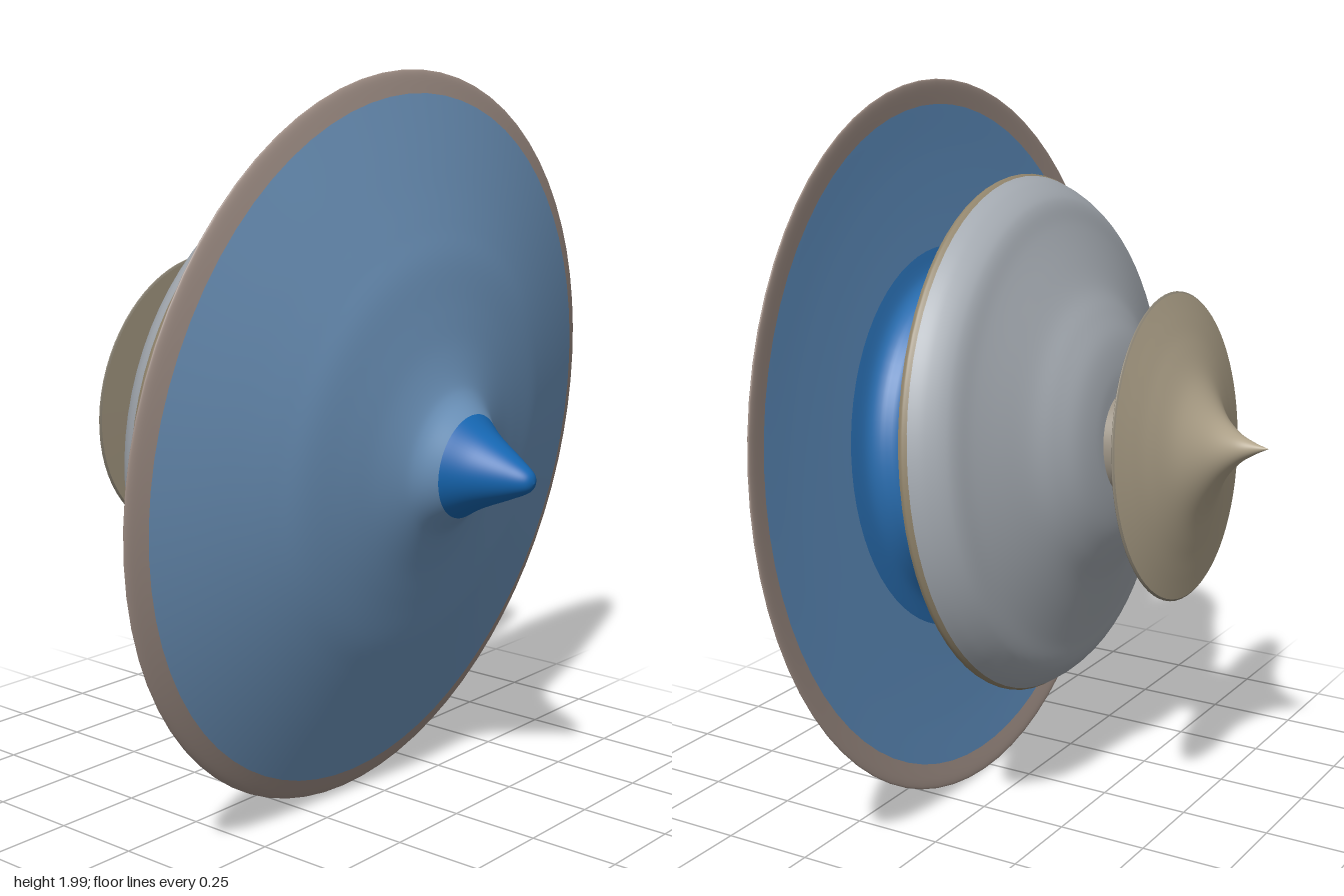
import * as THREE from 'three';

const SEGMENTS = 72;

// Turned part: control points are [radius, position along the axis], back to front
function turned(name, color, points, smooth = true) {
  let profile = points.map(([r, s]) => new THREE.Vector2(r, s));
  if (smooth) {
    profile = new THREE.SplineCurve(profile).getPoints(points.length * 5);
    profile.forEach((p) => { p.x = Math.max(p.x, 0); });
  }
  const mesh = new THREE.Mesh(
    new THREE.LatheGeometry(profile, SEGMENTS),
    new THREE.MeshStandardMaterial({ color, side: THREE.DoubleSide })
  );
  mesh.name = name;
  return mesh;
}

// Named group, set slightly off the axis (local -z is up once tilted)
function section(name, x, z, ...parts) {
  const group = new THREE.Group();
  group.name = name;
  group.position.set(x, 0, z);
  group.add(...parts);
  return group;
}

export function createModel() {
  // Large front disc: pointed nose, flat back with a raised plate
  const front = section('frontDisc', 0, 0,
    turned('frontDiscNose', 0x1668b4, [[0.14, 0.288], [0.102, 0.342], [0.055, 0.43], [0.026, 0.478], [0, 0.49]]),
    turned('frontDiscFace', 0x6f97c0, [[0.94, 0.026], [0.8, 0.07], [0.7, 0.101], [0.61, 0.129], [0.52, 0.156],
      [0.4, 0.181], [0.3, 0.203], [0.22, 0.228], [0.18, 0.25], [0.14, 0.288]]),
    turned('frontDiscRim', 0xa08f86, [[0.93, 0.004], [0.98, -0.002], [0.998, 0], [0.985, 0.01], [0.94, 0.026]]),
    turned('frontDiscBack', 0x5f8fc0, [[0.54, 0.013], [0.65, 0.013], [0.8, 0.01], [0.93, 0.004]]),
    turned('frontDiscRaisedPlate', 0x2a70b4, [[0.24, -0.097], [0.3, -0.091], [0.37, -0.087], [0.41, -0.081],
      [0.44, -0.057], [0.456, -0.022], [0.485, 0.002], [0.54, 0.013]])
  );

  // Flared neck between the front and middle discs
  const frontNeck = section('frontNeckSection', 0.008, 0,
    turned('frontNeck', 0x88a08c,
      [[0.172, -0.27], [0.168, -0.2], [0.174, -0.148], [0.2, -0.11], [0.25, -0.096]])
  );

  // Middle domed disc: bell-shaped back, steep shoulder, thin rim, flat front
  const middle = section('middleDisc', 0.012, -0.018,
    turned('middleDiscDome', 0xa5abb2, [[0, -0.535], [0.12, -0.533], [0.19, -0.53], [0.265, -0.514],
      [0.335, -0.482], [0.403, -0.445], [0.49, -0.409], [0.568, -0.379], [0.625, -0.36], [0.655, -0.34],
      [0.685, -0.305], [0.705, -0.27]]),
    turned('middleDiscRim', 0x92856c, [[0.705, -0.27], [0.711, -0.258], [0.708, -0.247]]),
    turned('middleDiscFront', 0xa5abb2, [[0.708, -0.247], [0, -0.245]], false)
  );

  // Short neck between the middle and rear discs
  const rearNeck = section('rearNeckSection', 0.025, 0,
    turned('rearNeck', 0x9b9284, [[0.136, -0.69], [0.142, -0.52]], false)
  );

  // Small rear disc with a pointed tail
  const rear = section('rearDisc', 0.034, 0.003,
    turned('rearDiscTail', 0xb3a68d, [[0, -0.944], [0.016, -0.905], [0.042, -0.86], [0.095, -0.808],
      [0.18, -0.758], [0.275, -0.727], [0.35, -0.708], [0.406, -0.695]]),
    turned('rearDiscRim', 0x8e8676, [[0.406, -0.695], [0.411, -0.69], [0.405, -0.686]]),
    turned('rearDiscFront', 0xb3a68d, [[0.405, -0.686], [0, -0.683]], false)
  );

  // Tilt the whole stack about the centre of the front rim
  const stack = section('tiltedStack', 0, 0, front, frontNeck, middle, rearNeck, rear);
  stack.quaternion.setFromUnitVectors(new THREE.Vector3(0, 1, 0), new THREE.Vector3(0.045, -0.093, 1).normalize());
  stack.position.set(0, 1.0, 0.226);

  const model = new THREE.Group();
  model.name = 'spinningTop';
  model.add(stack);
  return model;
}
